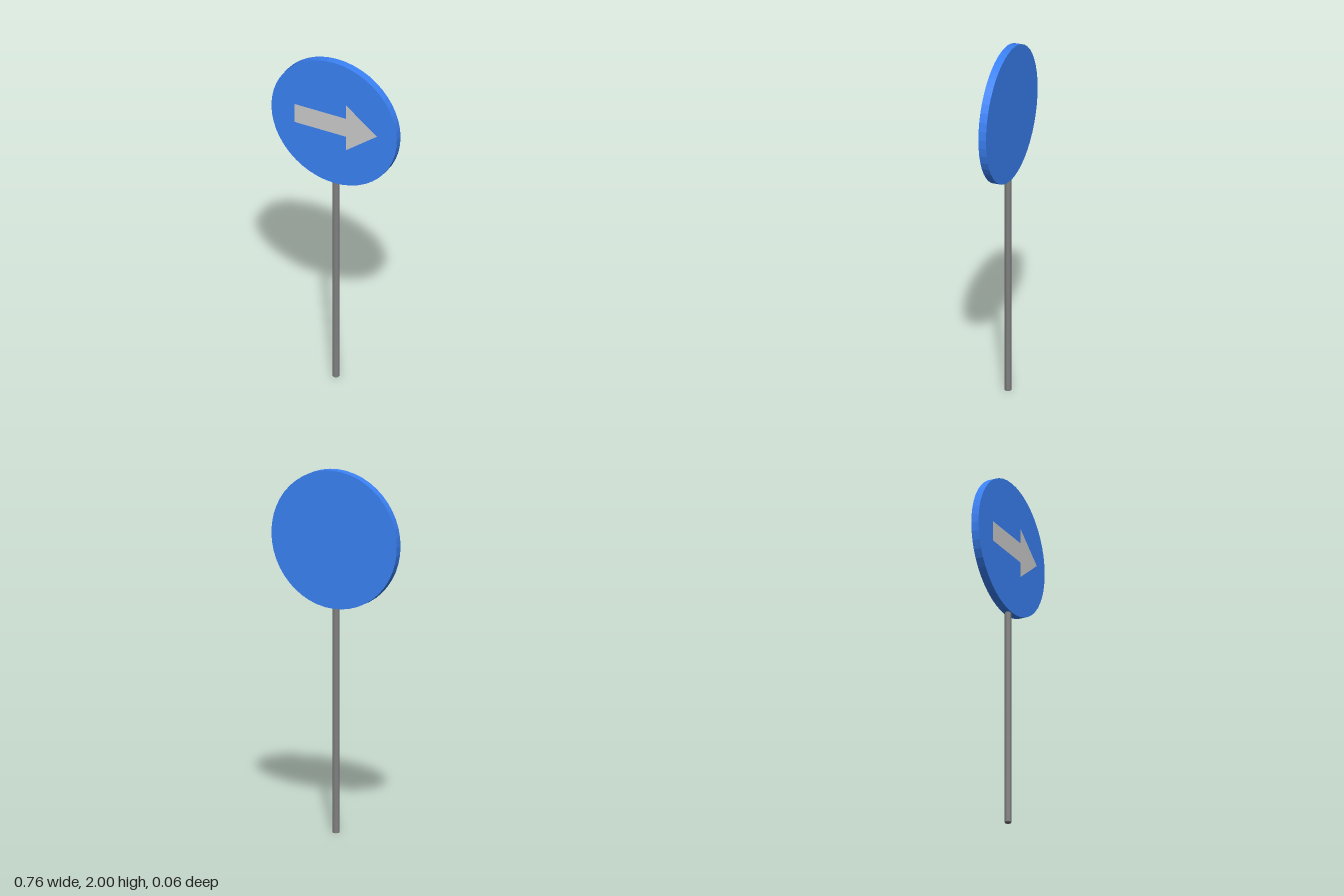
import * as THREE from 'three';

const DISC_Y = 1.619;
const DISC_R = 0.381;
const AXIS_Z = -0.006; // pole and disc share this plane

function part(name, geometry, color, options = {}) {
  const mesh = new THREE.Mesh(geometry, new THREE.MeshStandardMaterial({ color, ...options }));
  mesh.name = name;
  return mesh;
}

export function createModel() {
  const sign = new THREE.Group();
  sign.name = 'roadSign';

  // Pole, running from the ground into the disc
  const poleHeight = DISC_Y - DISC_R + 0.1;
  const pole = part('pole', new THREE.CylinderGeometry(0.018, 0.018, poleHeight, 12), 0x808080, { flatShading: true });
  pole.position.set(0, poleHeight / 2, AXIS_Z);

  // Round plate facing the front
  const discGeometry = new THREE.CylinderGeometry(DISC_R, DISC_R, 0.044, 48).rotateX(Math.PI / 2);
  const disc = part('disc', discGeometry, 0x3b82f6, { flatShading: true });
  disc.position.set(0, DISC_Y, AXIS_Z);

  // Flat arrow just ahead of the plate, pointing to +x
  const outline = [
    [-0.235, -0.057], [0.08, -0.057], [0.08, -0.142], [0.267, 0],
    [0.08, 0.142], [0.08, 0.057], [-0.235, 0.057],
  ].map(([x, y]) => new THREE.Vector2(x, y));
  const arrow = part('arrow', new THREE.ShapeGeometry(new THREE.Shape(outline)), 0xcccccc, { side: THREE.DoubleSide });
  arrow.position.set(0, DISC_Y, 0.028);

  sign.add(pole, disc, arrow);
  return sign;
}
